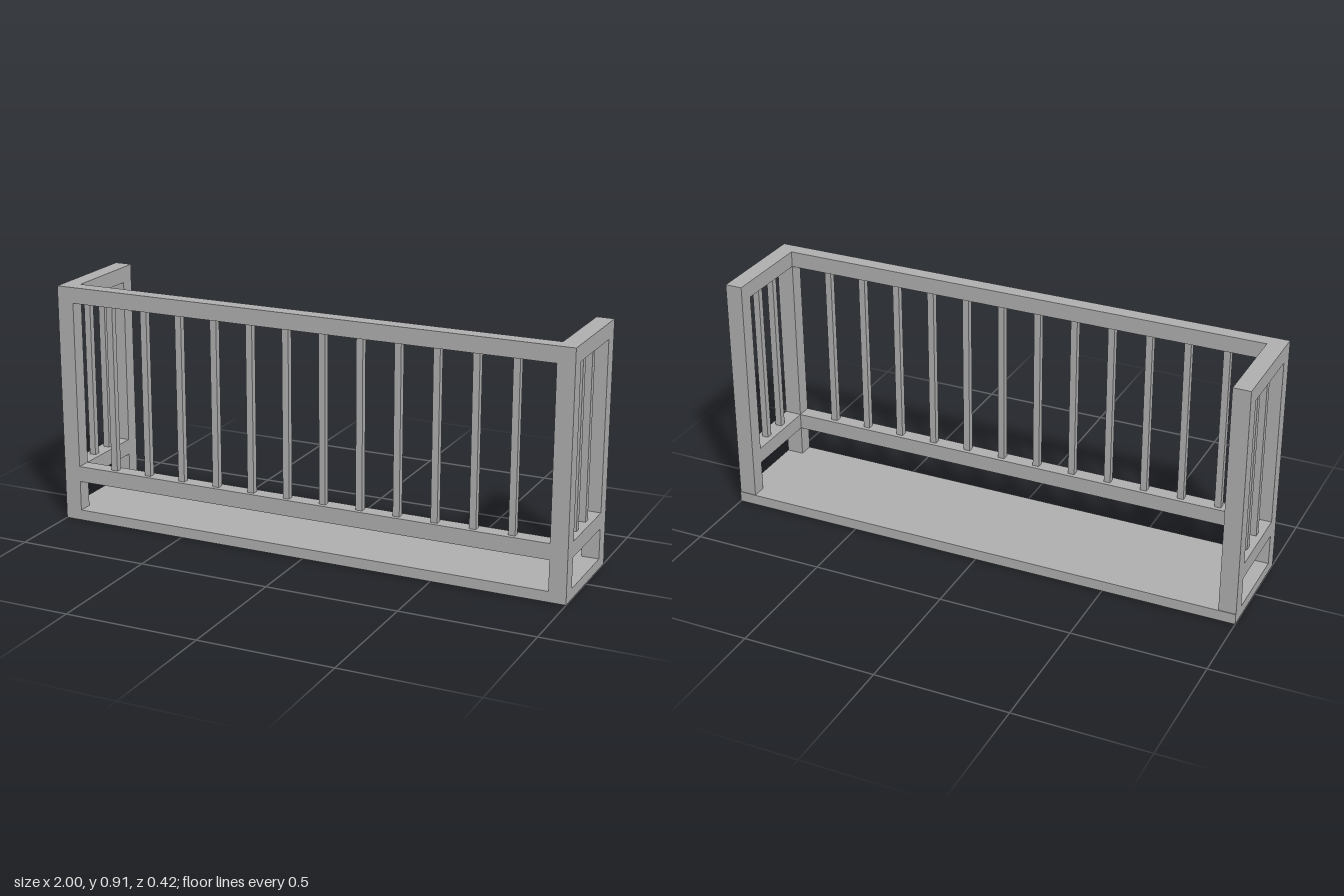
import * as THREE from 'three';

const FLOOR = 0.04, LOW = 0.155, LOW_TOP = 0.215, HIGH = 0.85, TOP = 0.91;
const INNER_X = 0.935, FRONT = 0.21, INNER_Z = 0.153, BACK_POST = -0.15, BACK = -0.207;
const BAR = 0.025;

export function createModel() {
  const group = new THREE.Group();
  group.name = 'balcony';
  const grey = new THREE.MeshStandardMaterial({ color: 0xb0b0b0 });
  grey.name = 'grey';

  const add = (name, geometry, x, y, z, parent = group) => {
    const mesh = new THREE.Mesh(geometry, grey);
    mesh.name = name;
    mesh.position.set(x, y, z);
    parent.add(mesh);
    return mesh;
  };
  const outline = (points) => new THREE.Shape(points.map(([x, y]) => new THREE.Vector2(x, y)));
  const extrude = (shape, depth) => new THREE.ExtrudeGeometry(shape, { depth, bevelEnabled: false });

  // Floor slab
  add('floor', new THREE.BoxGeometry(2, FLOOR, 0.42), 0, FLOOR / 2, 0);

  // Front frame: two corner posts, low rail and handrail in one piece
  const front = outline([
    [-1, FLOOR], [-INNER_X, FLOOR], [-INNER_X, LOW], [INNER_X, LOW],
    [INNER_X, FLOOR], [1, FLOOR], [1, TOP], [-1, TOP],
  ]);
  front.holes.push(outline([
    [-INNER_X, LOW_TOP], [-INNER_X, HIGH], [INNER_X, HIGH], [INNER_X, LOW_TOP],
  ]));
  add('frontFrame', extrude(front, FRONT - INNER_Z), 0, 0, INNER_Z);

  // Side frames: back post with two rails reaching the corner post
  const side = outline([
    [-BACK, FLOOR], [-BACK, TOP], [-INNER_Z, TOP], [-INNER_Z, HIGH],
    [-BACK_POST, HIGH], [-BACK_POST, LOW_TOP], [-INNER_Z, LOW_TOP], [-INNER_Z, LOW],
    [-BACK_POST, LOW], [-BACK_POST, FLOOR],
  ]);
  const sideGeometry = extrude(side, 1 - INNER_X).rotateY(Math.PI / 2);

  // Balusters, evenly spaced between the posts
  const barHeight = HIGH - LOW_TOP, barY = (HIGH + LOW_TOP) / 2;
  const barGeometry = new THREE.BoxGeometry(BAR, barHeight, BAR);
  const frontBars = new THREE.Group();
  frontBars.name = 'frontBalusters';
  group.add(frontBars);
  for (let i = 1; i <= 12; i++) {
    const x = -INNER_X + (2 * INNER_X * i) / 13;
    add('baluster', barGeometry, x, barY, (FRONT + INNER_Z) / 2, frontBars);
  }

  for (const [name, x] of [['left', INNER_X], ['right', -1]]) {
    add(name + 'SideFrame', sideGeometry, x, 0, 0);
    const bars = new THREE.Group();
    bars.name = name + 'Balusters';
    group.add(bars);
    for (let i = 1; i <= 2; i++) {
      const z = INNER_Z + ((BACK_POST - INNER_Z) * i) / 3;
      add('baluster', barGeometry, x + (1 - INNER_X) / 2, barY, z, bars);
    }
  }
  return group;
}
